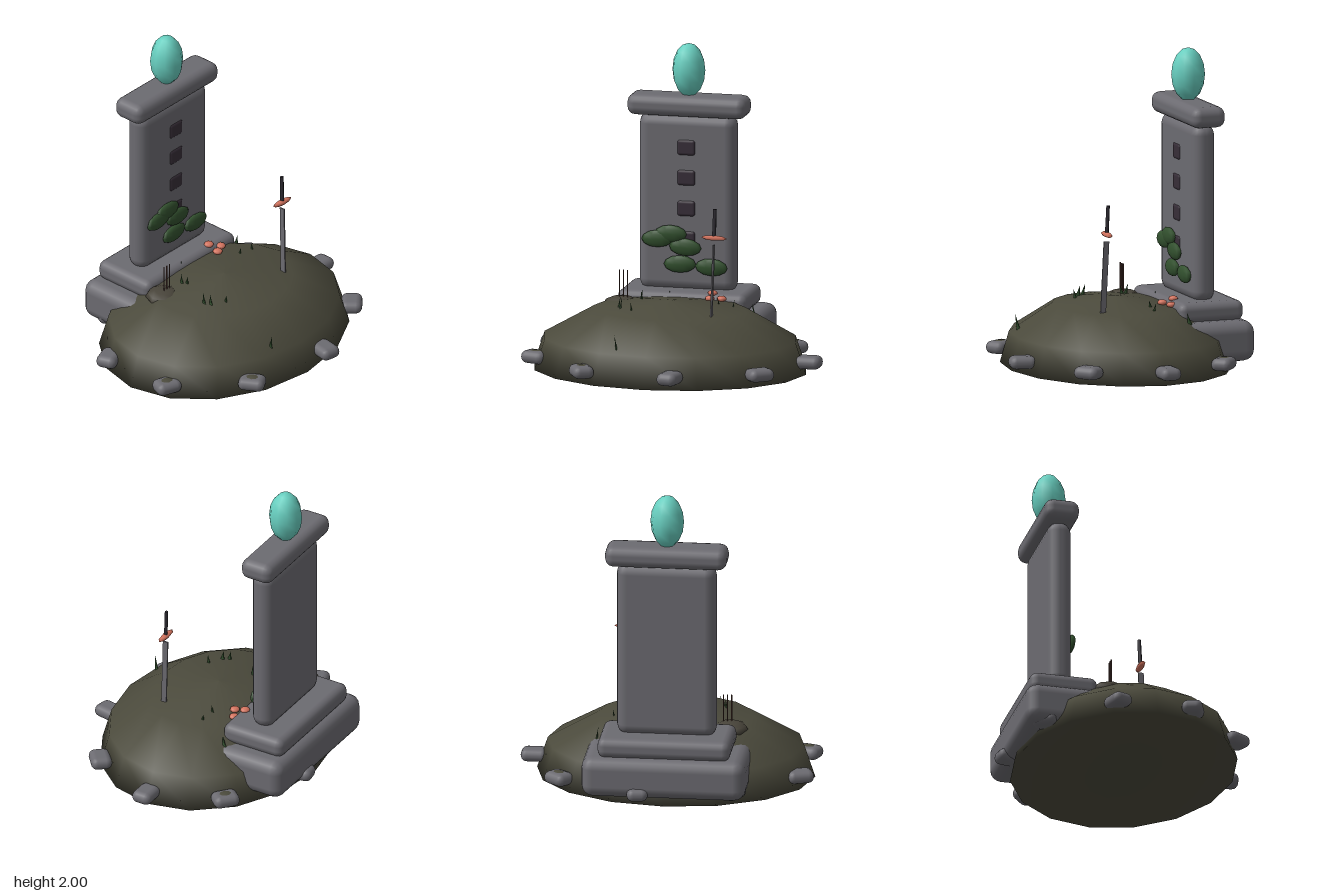
import * as THREE from 'three';
import { RoundedBoxGeometry } from 'three/addons/geometries/RoundedBoxGeometry.js';

const mat = (name, color, extra = {}) => {
  const m = new THREE.MeshStandardMaterial({ color, ...extra });
  m.name = name;
  return m;
};

export function createModel() {
  const root = new THREE.Group();
  root.name = 'moundShrine';
  const earth = mat('earth', 0x4b4a3c, { side: THREE.DoubleSide });
  const stone = mat('stone', 0x6c6b71);
  const dark = mat('darkRecess', 0x372e38);
  const jade = mat('jade', 0x68cfc0);
  const leaf = mat('leaf', 0x32502e);
  const coral = mat('coral', 0xd4745f);
  const bowl = mat('bowlClay', 0x48443a);
  const wood = mat('stickWood', 0x5a3d36);
  const grip = mat('grip', 0x2d2a31);

  const add = (name, geo, material, x, y, z, parent = root) => {
    const m = new THREE.Mesh(geo, material);
    m.name = name;
    m.position.set(x, y, z);
    parent.add(m);
    return m;
  };
  const block = (name, w, h, d, r, material, x, y, z) =>
    add(name, new RoundedBoxGeometry(w, h, d, 2, r), material, x, y, z);
  const blob = (name, rx, ry, rz, material, x, y, z, ws = 10, hs = 6) =>
    add(name, new THREE.SphereGeometry(1, ws, hs).scale(rx, ry, rz), material, x, y, z);

  // Low earth mound with a flat closed base
  const profile = [[0, 0], [0.885, 0], [0.817, 0.2], [0.49, 0.385], [0, 0.44]]
    .map(([r, y]) => new THREE.Vector2(r, y));
  add('mound', new THREE.LatheGeometry(profile, 16).scale(1, 1, 0.802), earth, -0.025, 0, 0);

  // Stepped plinth, slab, cap and jade finial
  const cx = -0.022, cz = -0.49;
  block('lowerPlinth', 1.045, 0.26, 0.53, 0.075, stone, cx, 0.18, cz);
  block('upperPlinth', 0.845, 0.13, 0.44, 0.05, stone, cx, 0.365, cz);
  block('slab', 0.635, 1.14, 0.152, 0.07, stone, cx, 0.98, cz + 0.003);
  block('slabCap', 0.775, 0.135, 0.225, 0.055, stone, cx, 1.603, cz);
  blob('finial', 0.107, 0.172, 0.107, jade, -0.024, 1.828, cz, 10, 8);

  // Column of dark inset squares
  for (const y of [1.34, 1.145, 0.947, 0.75]) {
    block('inset', 0.125, 0.108, 0.05, 0.022, dark, cx, y, -0.428);
  }

  // Leaf pads growing across the slab
  for (const [x, y, a] of [[-0.205, 0.748, 0.05], [-0.12, 0.783, 0], [-0.025, 0.7, -0.05],
    [-0.06, 0.59, 0.03], [0.145, 0.578, -0.03]]) {
    blob('leafPad', 0.105, 0.056, 0.026, leaf, x, y, -0.396).rotation.z = a;
  }

  // Ring of stones round the foot, some covered with moss
  for (let i = 0; i < 9; i++) {
    const a = (i * 40 * Math.PI) / 180;
    const x = 0.885 * Math.cos(a) - 0.008, z = 0.715 * Math.sin(a);
    const rock = block('rimStone', 0.17, 0.082, 0.135, 0.04, stone, x, 0.083, z);
    rock.rotation.y = a;
    if (i === 3 || i === 4 || i === 8) {
      const moss = blob('moss', 0.076, 0.036, 0.058, earth, x, 0.093, z, 8, 6);
      moss.rotation.y = a;
    }
  }

  // Offering stone with three sticks
  blob('offeringStone', 0.114, 0.05, 0.114, bowl, -0.39, 0.362, -0.19, 8, 6);
  for (const x of [-0.398, -0.372, -0.346]) {
    add('incenseStick', new THREE.CylinderGeometry(0.004, 0.004, 0.19, 5), wood, x, 0.487, -0.176);
  }

  // Blade standing in the ground, leaning slightly back
  const sword = new THREE.Group();
  sword.name = 'sword';
  sword.position.set(0.296, 0.39, 0.214);
  sword.rotation.set(-0.04, 0, -0.024);
  root.add(sword);
  add('blade', new THREE.BoxGeometry(0.009, 0.46, 0.036), stone, 0, 0.23, 0, sword);
  add('guard', new THREE.SphereGeometry(1, 8, 4).scale(0.084, 0.017, 0.024), coral, 0, 0.505, 0, sword);
  add('handle', new THREE.CylinderGeometry(0.012, 0.013, 0.18, 6), grip, 0, 0.6, 0, sword);

  // Small mushrooms beside the plinth
  for (const [x, y, z] of [[0.175, 0.432, -0.31], [0.243, 0.406, -0.27], [0.175, 0.412, -0.235]]) {
    blob('mushroomCap', 0.032, 0.018, 0.032, coral, x, y, z, 8, 6);
    add('mushroomStem', new THREE.CylinderGeometry(0.007, 0.009, 0.05, 5), coral, x, y - 0.027, z);
  }

  // Flat grass blades: [x, base height, z, lean]
  const tufts = [[-0.33, 0.4, 0.1, -0.2], [-0.31, 0.4, 0.14, -0.2], [-0.23, 0.39, 0.2, 0.15],
    [-0.25, 0.4, -0.16, -0.2], [-0.24, 0.4, -0.12, 0.2], [0.26, 0.38, -0.12, 0.2],
    [0.36, 0.37, -0.11, -0.2], [-0.1, 0.37, -0.3, 0.1], [0.44, 0.31, -0.31, 0.2],
    [-0.235, 0.21, 0.588, 0.2]];
  for (const [x, y, z, lean] of tufts) {
    const h = y < 0.25 ? 0.125 : 0.08;
    const geo = new THREE.ConeGeometry(0.016, h, 6).scale(0.4, 1, 1);
    add('grassBlade', geo, leaf, x, y + h / 2 - 0.01, z).rotation.set(lean, 0, lean * 0.5);
  }
  return root;
}
